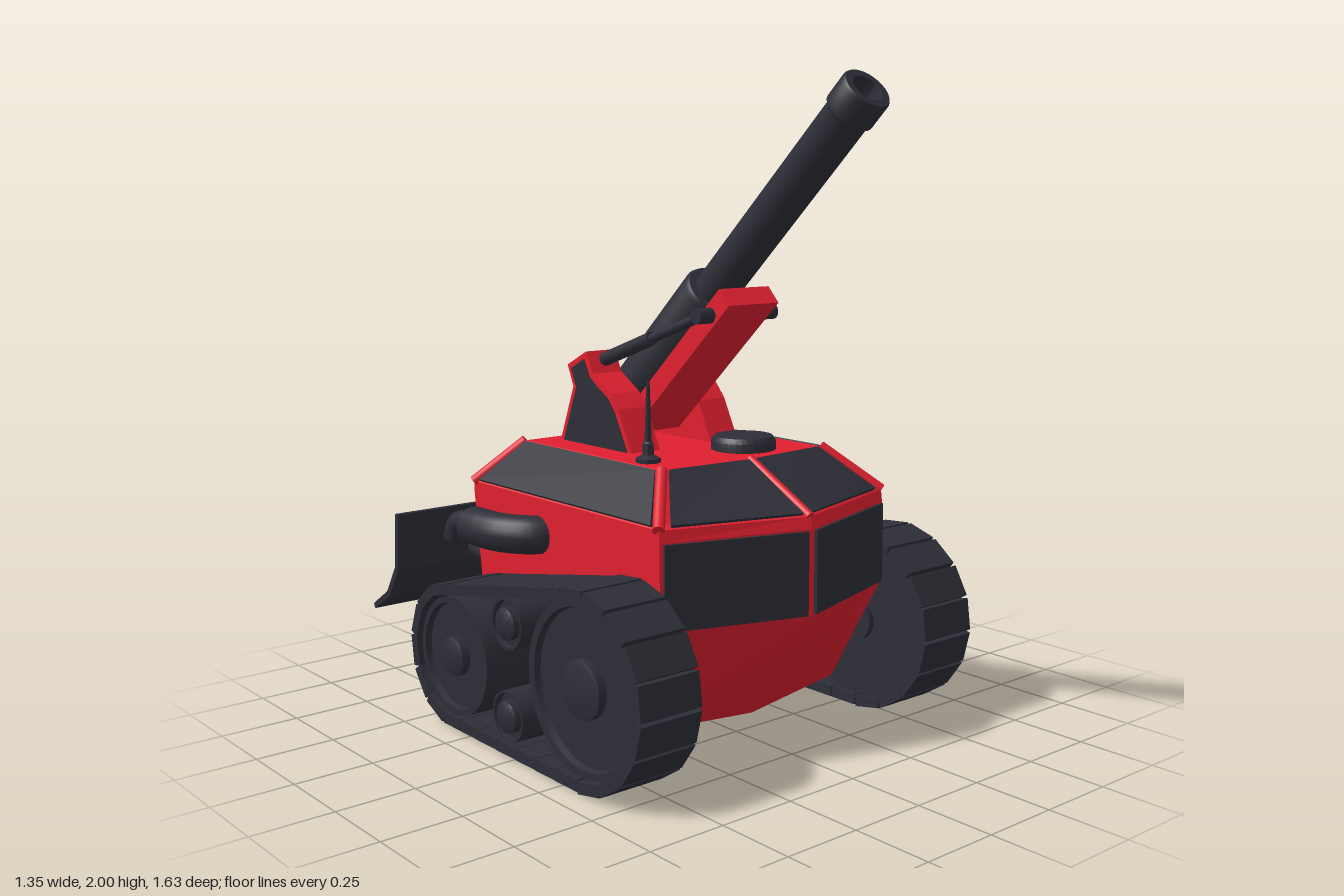
import * as THREE from 'three';
import { toCreasedNormals } from 'three/addons/utils/BufferGeometryUtils.js';

const red = new THREE.MeshStandardMaterial({ color: 0xe0202f });
const dark = new THREE.MeshStandardMaterial({ color: 0x2d2e37 });
const openDark = new THREE.MeshStandardMaterial({ color: 0x2d2e37, side: THREE.DoubleSide });
const V = (x, y, z) => new THREE.Vector3(x, y, z);

export function createModel() {
  const root = new THREE.Group();

  const add = (name, geometry, material, parent = root) => {
    const mesh = new THREE.Mesh(geometry, material);
    mesh.name = name;
    parent.add(mesh);
    return mesh;
  };
  // Round bar of radius r from a to b
  const rod = (name, a, b, r, material, parent = root) => {
    const dir = b.clone().sub(a);
    const mesh = add(name, new THREE.CylinderGeometry(r, r, dir.length(), 20), material, parent);
    mesh.position.copy(a).add(b).multiplyScalar(0.5);
    mesh.quaternion.setFromUnitVectors(V(0, 1, 0), dir.normalize());
  };
  const lathe = (points, segments = 32) => toCreasedNormals(
    new THREE.LatheGeometry(points.map(p => new THREE.Vector2(...p)), segments), 0.6);

  // Hull: pentagonal rings [y, half width, back z, corner z, nose z]
  const rings = [
    [0.075, 0.455, -0.475, 0.22, 0.32],
    [0.44, 0.455, -0.49, 0.43, 0.575],
    [0.7, 0.455, -0.525, 0.43, 0.575],
    [0.735, 0.455, -0.525, 0.425, 0.565],
    [0.87, 0.325, -0.415, 0.28, 0.305],
  ].map(([y, w, zb, zc, zn]) => [V(0, y, zn), V(w, y, zc), V(w, y, zb), V(-w, y, zb), V(-w, y, zc)]);
  const verts = [];
  const tri = (...pts) => pts.forEach(p => verts.push(p.x, p.y, p.z));
  for (let k = 0; k < rings.length - 1; k++) {
    for (let i = 0; i < 5; i++) {
      const j = (i + 1) % 5, lo = rings[k], hi = rings[k + 1];
      tri(lo[i], lo[j], hi[j]);
      tri(lo[i], hi[j], hi[i]);
    }
  }
  const floor = rings[0], roof = rings[4];
  for (let i = 1; i < 4; i++) {
    tri(roof[0], roof[i], roof[i + 1]);
    tri(floor[0], floor[i + 1], floor[i]);
  }
  const hullGeo = new THREE.BufferGeometry();
  hullGeo.setAttribute('position', new THREE.Float32BufferAttribute(verts, 3));
  hullGeo.computeVertexNormals();
  // Soft shading around the floor edge
  const hp = hullGeo.attributes.position, hn = hullGeo.attributes.normal;
  for (let q = 0; q < hp.count; q++) {
    if (hp.getY(q) > 0.1) continue;
    const n = V(hp.getX(q), -0.45, hp.getZ(q)).normalize();
    hn.setXYZ(q, n.x, n.y, n.z);
  }
  add('hull', hullGeo, red);

  // Raised ribs on the sloping corners
  for (let i = 0; i < 5; i++) rod('cornerRib', rings[3][i], rings[4][i], i ? 0.018 : 0.014, red);

  // Dark plate lying on a hull face, between fractions u0..u1 and v0..v1
  const panel = (name, k, k2, i, [u0, u1], [v0, v1]) => {
    const j = (i + 1) % 5;
    const [a, b, c, d] = [rings[k][i], rings[k][j], rings[k2][j], rings[k2][i]];
    const n = b.clone().sub(a).cross(d.clone().sub(a)).normalize();
    const geo = new THREE.BoxGeometry(1, 1, 1), pos = geo.attributes.position;
    for (let q = 0; q < pos.count; q++) {
      const u = pos.getX(q) > 0 ? u1 : u0, v = pos.getY(q) > 0 ? v1 : v0;
      const p = a.clone().lerp(b, u).lerp(d.clone().lerp(c, u), v);
      p.addScaledVector(n, pos.getZ(q) > 0 ? 0.01 : -0.01);
      pos.setXYZ(q, p.x, p.y, p.z);
    }
    geo.computeVertexNormals();
    add(name, geo, dark);
  };
  panel('leftFrontWindow', 1, 2, 0, [0.03, 0.975], [0.01, 0.98]);
  panel('rightFrontWindow', 1, 2, 4, [0.025, 0.97], [0.01, 0.98]);
  panel('leftUpperWindow', 3, 4, 0, [0.04, 0.92], [0.03, 0.96]);
  panel('rightUpperWindow', 3, 4, 4, [0.08, 0.96], [0.03, 0.96]);
  panel('leftSidePanel', 3, 4, 1, [0.03, 0.97], [0.03, 0.96]);
  panel('rightSidePanel', 3, 4, 3, [0.03, 0.97], [0.03, 0.96]);

  // Track loop around the two big wheels, in the (z, y) plane
  const front = { z: 0.324, y: 0.29, r: 0.274 }, rear = { z: -0.363, y: 0.226, r: 0.21 };
  const dz = rear.z - front.z, dy = rear.y - front.y;
  const phi = Math.atan2(dy, dz), alpha = Math.acos((front.r - rear.r) / Math.hypot(dz, dy));
  const loop = new THREE.Path();
  loop.absarc(front.z, front.y, front.r, phi + alpha, phi + 2 * Math.PI - alpha, false);
  loop.absarc(rear.z, rear.y, rear.r, phi - alpha, phi + alpha, false);
  loop.closePath();
  const plates = 28, plateGeo = new THREE.BoxGeometry(0.215, 0.035, loop.getLength() / plates * 0.97);

  const wheels = [
    ['frontWheel', 0.32, 0.29, 0.262, 0.087], ['rearWheel', -0.36, 0.223, 0.19, 0.062],
    ['upperRoller', -0.06, 0.395, 0.08, 0.05], ['lowerRoller', -0.06, 0.107, 0.08, 0.05],
  ];

  for (const s of [1, -1]) {
    const side = new THREE.Group();
    side.name = s > 0 ? 'leftSide' : 'rightSide';
    root.add(side);

    for (let i = 0; i < plates; i++) {
      const t = (i + 0.5) / plates, p = loop.getPoint(t), d = loop.getTangent(t);
      const plate = add('trackPlate', plateGeo, dark, side);
      plate.position.set(s * (0.561 + 0.011 * p.x), p.y, p.x);
      plate.rotation.x = -Math.atan2(d.y, d.x);
    }
    for (const [name, z, y, r, hub] of wheels) {
      const wheel = add(name, lathe([[0, -0.09], [r, -0.09], [r, 0.085], [r * 0.9, 0.085], [r * 0.88, 0.065],
        [hub, 0.065], [hub, 0.09], [hub * 0.85, 0.095], [0, 0.095]], 40), dark, side);
      wheel.position.set(s * 0.562, y, z);
      wheel.rotation.z = -s * Math.PI / 2;
      rod('axle', V(s * 0.452, y, z), V(s * 0.55, y, z), hub * 0.8, dark, side);
    }

    // Exhaust: wide muffler, then a thin pipe bending down
    const pipe = (name, pts, r, material) => add(name, new THREE.TubeGeometry(
      new THREE.CatmullRomCurve3(pts.map(([x, y, z]) => V(s * x, y, z))), 24, r, 16), material, side);
    pipe('muffler', [[0.4, 0.62, -0.15], [0.47, 0.62, -0.175], [0.52, 0.62, -0.25], [0.535, 0.62, -0.33],
      [0.535, 0.62, -0.41]], 0.061, dark);
    const cap = add('mufflerCap', lathe([[0.061, 0], [0.055, 0.012], [0.03, 0.018], [0, 0.018]], 16), dark, side);
    cap.position.set(s * 0.535, 0.62, -0.41);
    cap.rotation.x = -Math.PI / 2;
    pipe('tailPipe', [[0.535, 0.625, -0.4], [0.535, 0.625, -0.455], [0.535, 0.61, -0.5], [0.535, 0.56, -0.525]],
      0.036, openDark);

    rod('bladeArm', V(s * 0.37, 0.46, -0.45), V(s * 0.37, 0.49, -0.65), 0.041, dark, side);

    // Gun mount bracket with a dark inlay on its outer face
    const outline = [[0.01, 0.86], [-0.06, 1.0], [-0.1, 1.045], [-0.15, 1.075], [-0.19, 1.1], [-0.225, 1.168],
      [-0.325, 1.118], [-0.295, 1.05], [-0.37, 0.86]];
    const inlay = [[-0.012, 0.865], [-0.078, 0.99], [-0.112, 1.03], [-0.16, 1.057], [-0.205, 1.087], [-0.235, 1.143],
      [-0.303, 1.108], [-0.276, 1.05], [-0.348, 0.865]];
    const slab = (name, pts, x, depth, material) => {
      // Shape x runs along -z, so the extrusion turns to run along x
      const shape = new THREE.Shape(pts.map(([z, y]) => new THREE.Vector2(-z, y)));
      const mesh = add(name, new THREE.ExtrudeGeometry(shape, { depth, bevelEnabled: false }), material, side);
      mesh.rotation.y = Math.PI / 2;
      mesh.position.x = s * x - depth / 2;
    };
    slab('gunBracket', outline, 0.163, 0.114, red);
    slab('bracketInlay', inlay, 0.215, 0.016, dark);

    // Elevation strut
    const foot = V(s * 0.157, 1.14, -0.21), top = V(s * 0.13, 1.305, 0.235);
    const mid = foot.clone().lerp(top, 0.5);
    rod('strutCylinder', foot, mid, 0.022, dark, side);
    rod('strutPiston', mid, top, 0.015, dark, side);
    rod('strutPin', V(s * 0.09, 1.305, 0.235), V(s * 0.157, 1.305, 0.235), 0.024, dark, side);
  }

  // Gun: local y runs along the barrel, local z points to its underside
  const gun = new THREE.Group();
  gun.name = 'gun';
  gun.position.set(0, 0.97, -0.285);
  gun.rotation.x = THREE.MathUtils.degToRad(47);
  root.add(gun);
  add('barrel', lathe([[0, 0], [0.097, 0], [0.097, 0.575], [0.09, 0.588], [0.066, 0.588], [0.066, 1.335],
    [0.075, 1.345], [0.075, 1.425], [0.07, 1.433], [0.046, 1.433], [0.046, 1.25], [0, 1.25]], 36), dark, gun);
  add('cradle', new THREE.BoxGeometry(0.2, 0.64, 0.065), red, gun).position.set(0, 0.373, 0.11);

  // Rear dozer blade
  const blade = new THREE.Shape([[0.635, 0.635], [0.645, 0.45], [0.705, 0.35], [0.805, 0.288],
    [0.815, 0.303], [0.722, 0.363], [0.665, 0.455], [0.655, 0.635]].map(p => new THREE.Vector2(...p)));
  const bladeMesh = add('blade', new THREE.ExtrudeGeometry(blade, { depth: 1.354, bevelEnabled: false }), dark);
  bladeMesh.rotation.y = Math.PI / 2;
  bladeMesh.position.x = -0.677;

  // Roof fittings
  add('hatch', lathe([[0, 0], [0.102, 0], [0.102, 0.03], [0.092, 0.045], [0, 0.047]]), dark).position.set(0.11, 0.868, 0.155);
  add('antenna', lathe([[0, 0], [0.038, 0], [0.038, 0.015], [0.018, 0.025], [0.016, 0.06], [0.011, 0.065],
    [0.005, 0.245], [0, 0.245]], 8), dark).position.set(-0.27, 0.868, 0.15);

  return root;
}
